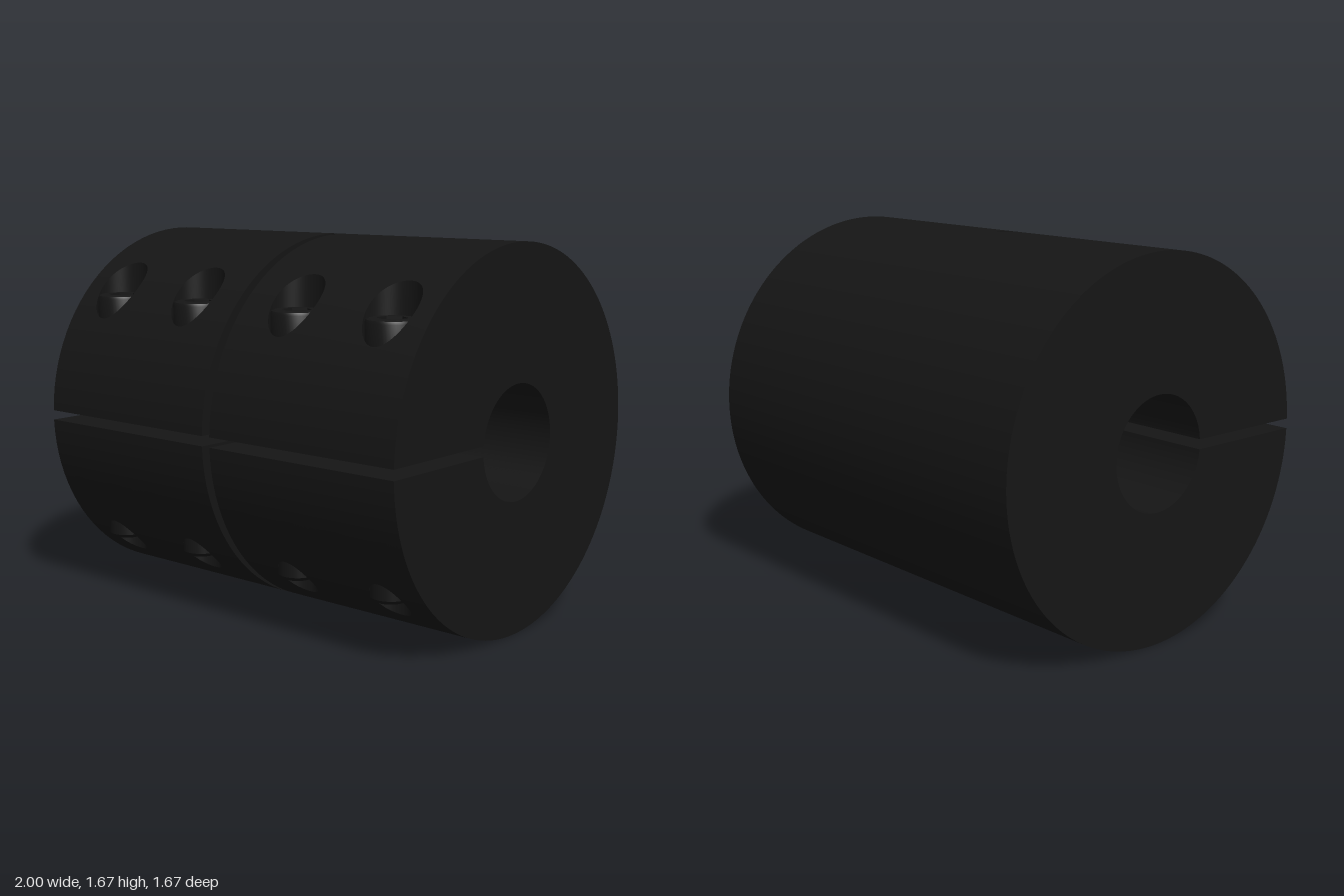
import * as THREE from 'three';
import { mergeGeometries, toCreasedNormals } from 'three/addons/utils/BufferGeometryUtils.js';

const R = 0.833, BORE = 0.25;        // outer and bore radius
const GAP = 0.022;                   // half width of both slots
const BOLT_X = [0.29, 0.79], BOLT_Z = 0.582;
const SHANK = 0.083, HEAD = 0.109, COUNTERBORE = 0.118;
const SEAT = 0.38, HEAD_TOP = 0.555, TIP = -0.583; // heights from the axis
const { lerp } = THREE.MathUtils;

// Grid surface from f(u, v) -> [x, y, z]; faces along du x dv unless flipped
function sheet(f, nu, nv, flip, normalOf) {
  const pos = [], index = [];
  for (let i = 0; i <= nu; i++)
    for (let j = 0; j <= nv; j++) pos.push(...f(i / nu, j / nv));
  for (let i = 0; i < nu; i++)
    for (let j = 0; j < nv; j++) {
      const a = i * (nv + 1) + j, b = a + 1, c = a + nv + 1, d = c + 1;
      index.push(...(flip ? [a, b, c, b, d, c] : [a, c, b, b, c, d]));
    }
  const g = new THREE.BufferGeometry();
  g.setAttribute('position', new THREE.Float32BufferAttribute(pos, 3));
  g.setIndex(index);
  g.computeVertexNormals();
  if (normalOf) {
    const p = g.attributes.position, n = g.attributes.normal;
    for (let i = 0; i < p.count; i++) n.setXYZ(i, ...normalOf(p.getX(i), p.getY(i), p.getZ(i)));
  }
  return g;
}

// Point on the perimeter of a [-1, 1] square, counterclockwise
function squarePoint(v) {
  const side = Math.min(3, Math.floor(v * 4)), m = (v * 4 - side) * 2;
  return [[1, m - 1], [1 - m, 1], [-1, 1 - m], [m - 1, -1]][side];
}

// One quarter of the body: s picks the x side, t the upper or lower side
function bodyQuarter(s, t) {
  const flip = s * t < 0, parts = [];
  const at = (x, a, r) => [s * x, t * r * Math.sin(a), r * Math.cos(a)];
  const radial = (x, y, z) => [0, y / Math.hypot(y, z), z / Math.hypot(y, z)];
  const inward = (x, y, z) => radial(x, y, z).map(k => -k);
  const start = r => Math.asin(GAP / r), half = Math.PI / 2;

  // Rear: outer wall, bore and end face
  parts.push(
    sheet((u, v) => at(u, lerp(half, Math.PI, v), R), 1, 48, flip, radial),
    sheet((u, v) => at(u, lerp(half, Math.PI, v), BORE), 1, 48, !flip, inward),
    sheet((u, v) => at(1, lerp(half, Math.PI, v), lerp(BORE, R, u)), 1, 48, !flip),
    // Floor of the cross slot
    sheet((u, v) => [s * u * GAP, t * lerp(BORE, R, v), 0], 1, 1, flip));

  // Front: bore, end face, cross-slot face and clamping-slot wall
  const face = x => (u, v) => {
    const r = lerp(BORE, R, u);
    return at(x, lerp(start(r), half, v), r);
  };
  parts.push(
    sheet((u, v) => at(lerp(GAP, 1, u), lerp(start(BORE), half, v), BORE), 1, 48, !flip, inward),
    sheet(face(1), 8, 48, !flip),
    sheet(face(GAP), 8, 48, flip),
    sheet((u, v) => at(lerp(GAP, 1, u), start(lerp(BORE, R, v)), lerp(BORE, R, v)), 1, 8, flip));

  // Front outer wall: one patch around each bolt hole, plus the hole itself
  const hole = t > 0 ? COUNTERBORE : SHANK + 0.001;
  BOLT_X.forEach((cx, k) => {
    const x0 = k ? 0.54 : GAP, x1 = k ? 1 : 0.54;
    const rim = (v, r = hole) => {
      const [a, b] = squarePoint(v), phi = Math.atan2(b, a);
      return [cx + r * Math.cos(phi), BOLT_Z - r * Math.sin(phi)];
    };
    parts.push(
      sheet((u, v) => {
        const [a, b] = squarePoint(v), [hx, hz] = rim(v);
        return at(lerp(hx, lerp(x0, x1, (a + 1) / 2), u),
          lerp(Math.acos(hz / R), lerp(start(R), half, (b + 1) / 2), u), R);
      }, 16, 96, flip, radial),
      sheet((u, v) => {
        const [x, z] = rim(v);
        return [s * x, t * lerp(SEAT, Math.sqrt(R * R - z * z), u), z];
      }, 1, 96, flip),
      sheet((u, v) => {
        const [x, z] = rim(v, lerp(SHANK * 0.9, hole, u));
        return [s * x, t * SEAT, z];
      }, 1, 96, flip));
  });
  return parts;
}

// Socket-head bolt standing on the y axis
function makeBolt(material) {
  const bolt = new THREE.Group();
  bolt.name = 'clampBolt';
  const add = (name, geometry, mat = material) => {
    const mesh = new THREE.Mesh(geometry, mat);
    mesh.name = name;
    bolt.add(mesh);
    return mesh;
  };
  const profile = [
    [0, TIP], [0.066, TIP], [SHANK, TIP + 0.017], [SHANK, SEAT], [HEAD, SEAT],
    [HEAD, HEAD_TOP - 0.017], [HEAD - 0.005, HEAD_TOP - 0.005], [HEAD - 0.017, HEAD_TOP],
  ].map(p => new THREE.Vector2(...p));
  add('shankAndHead', toCreasedNormals(new THREE.LatheGeometry(profile, 48), 0.6));

  // Top face with a hexagonal socket
  const hexR = 0.065, depth = 0.08;
  const top = new THREE.Shape().absarc(0, 0, HEAD - 0.017, 0, Math.PI * 2);
  const hex = [0, 1, 2, 3, 4, 5].map(i =>
    new THREE.Vector2(hexR * Math.sin(i * Math.PI / 3), hexR * Math.cos(i * Math.PI / 3)));
  top.holes.push(new THREE.Path(hex));
  add('headTop', new THREE.ShapeGeometry(top, 24).rotateX(-Math.PI / 2)).position.y = HEAD_TOP;
  const inside = material.clone();
  inside.side = THREE.DoubleSide;
  inside.flatShading = true;
  add('socketWall', new THREE.CylinderGeometry(hexR, hexR, depth, 6, 1, true), inside)
    .position.y = HEAD_TOP - depth / 2;
  add('socketFloor', new THREE.ShapeGeometry(new THREE.Shape(hex)).rotateX(-Math.PI / 2))
    .position.y = HEAD_TOP - depth;
  return bolt;
}

export function createModel() {
  const model = new THREE.Group();
  model.name = 'clampCoupling';
  const material = new THREE.MeshStandardMaterial({ color: 0x151515 });

  const quarters = [];
  for (const s of [-1, 1]) for (const t of [-1, 1]) quarters.push(...bodyQuarter(s, t));
  const body = new THREE.Mesh(mergeGeometries(quarters), material);
  body.name = 'slottedBody';
  body.position.y = R;
  model.add(body);

  for (const s of [-1, 1])
    for (const x of BOLT_X) {
      const bolt = makeBolt(material);
      bolt.position.set(s * x, R, BOLT_Z);
      model.add(bolt);
    }
  return model;
}
